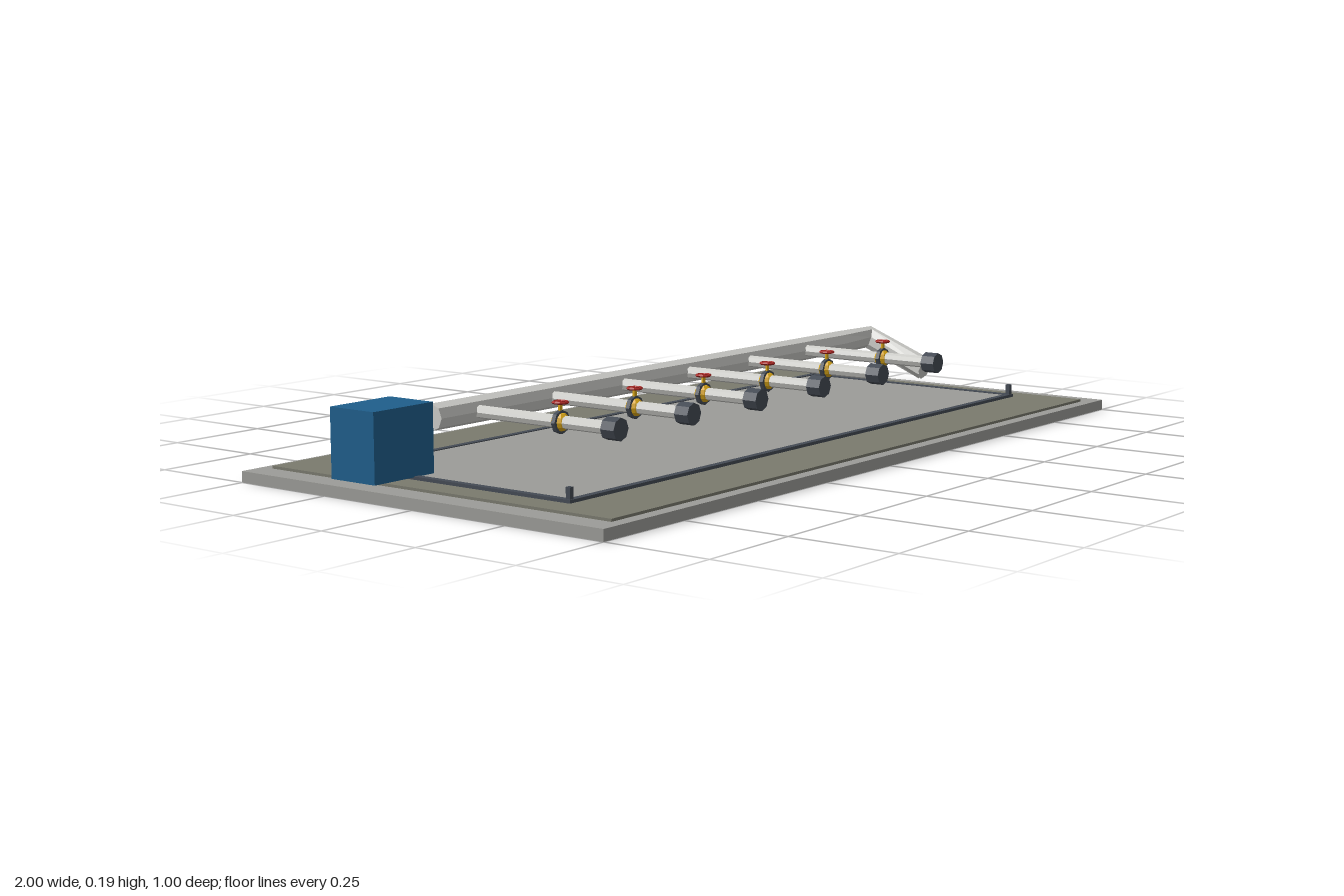
import * as THREE from 'three';

const mat = (name, color) => {
  const m = new THREE.MeshStandardMaterial({ color, flatShading: true });
  m.name = name;
  return m;
};

// Polyline path whose rings sit exactly on the given points
class Polyline extends THREE.Curve {
  constructor(points) { super(); this.points = points; }
  getPoint(t, target = new THREE.Vector3()) {
    const n = this.points.length - 1;
    const i = Math.min(Math.floor(t * n + 1e-6), n - 1);
    return target.lerpVectors(this.points[i], this.points[i + 1], t * n - i);
  }
  getPointAt(u, target) { return this.getPoint(u, target); }
  getTangentAt(u, target = new THREE.Vector3()) {
    const p = this.points, n = p.length - 1, i = Math.round(u * n);
    const dir = (a) => p[a + 1].clone().sub(p[a]).normalize();
    target.copy(dir(Math.max(i - 1, 0)));
    return target.add(dir(Math.min(i, n - 1))).normalize();
  }
}

export function createModel() {
  const concrete = mat('concrete', 0x9c9c98);
  const gravel = mat('gravel', 0x7a7a6e);
  const steel = mat('pipe steel', 0xcdcdc9);
  const dark = mat('dark iron', 0x454b55);
  const blue = mat('blue cabinet', 0x1f5f8c);
  const yellow = mat('yellow valve', 0xdca818);
  const red = mat('red wheel', 0xa82420);

  const root = new THREE.Group();
  root.name = 'pipeManifold';
  const add = (parent, name, geo, material, x = 0, y = 0, z = 0) => {
    const m = new THREE.Mesh(geo, material);
    m.name = name;
    m.position.set(x, y, z);
    parent.add(m);
    return m;
  };
  const box = (parent, name, material, w, y0, y1, d, x = 0, z = 0) =>
    add(parent, name, new THREE.BoxGeometry(w, y1 - y0, d), material, x, (y0 + y1) / 2, z);
  // Cylinder lying along z
  const rod = (parent, name, material, r, z0, z1, sides = 8) =>
    add(parent, name, new THREE.CylinderGeometry(r, r, z1 - z0, sides).rotateX(Math.PI / 2),
      material, 0, 0, (z0 + z1) / 2);

  // Stepped base
  box(root, 'baseSlab', concrete, 2, 0, 0.025, 1);
  box(root, 'gravelBed', gravel, 1.88, 0.025, 0.031, 0.94);
  box(root, 'innerPad', concrete, 1.72, 0.031, 0.036, 0.6);

  // Low dark border with corner posts
  for (const s of [-1, 1]) {
    box(root, 'borderLong', dark, 1.75, 0.03, 0.038, 0.016, 0, s * 0.303);
    box(root, 'borderShort', dark, 0.016, 0.03, 0.038, 0.59, s * 0.867, 0);
    for (const t of [-1, 1])
      box(root, 'cornerPost', dark, 0.011, 0.03, 0.063, 0.011, s * 0.866, t * 0.303);
  }

  // Control cabinet
  box(root, 'cabinet', blue, 0.175, 0.036, 0.188, 0.125, -0.902, -0.176);

  // Main header pipe with angled outlet
  const pts = [[-0.75, 0.14, -0.18], [0.8, 0.14, -0.18], [0.95, 0.14, -0.18], [0.95, 0.068, 0]]
    .map((p) => new THREE.Vector3(...p));
  const path = new Polyline(pts);
  add(root, 'headerPipe', new THREE.TubeGeometry(path, 3, 0.03, 8, false), steel);
  for (const u of [0, 1]) {
    const cap = add(root, 'pipeEnd', new THREE.CircleGeometry(0.03, 8), steel);
    const out = path.getTangentAt(u).multiplyScalar(u ? 1 : -1);
    cap.position.copy(pts[u * 3]);
    cap.quaternion.setFromUnitVectors(new THREE.Vector3(0, 0, 1), out);
  }

  // Branch lines with valves and end couplings
  for (let i = 0; i < 6; i++) {
    const branch = new THREE.Group();
    branch.name = 'branch';
    branch.position.set(-0.625 + i * 0.25, 0.139, 0);
    root.add(branch);
    rod(branch, 'branchPipe', steel, 0.0145, -0.18, 0.205);
    rod(branch, 'coupling', dark, 0.025, 0.203, 0.239);

    const valve = new THREE.Group();
    valve.name = 'valve';
    valve.position.z = 0.075;
    branch.add(valve);
    add(valve, 'valveBody', new THREE.SphereGeometry(0.021, 8, 6), yellow);
    rod(valve, 'valveFlange', dark, 0.026, -0.005, 0.005);
    add(valve, 'valveStem', new THREE.CylinderGeometry(0.005, 0.005, 0.026, 6), yellow, 0, 0.028, 0);
    add(valve, 'handWheel', new THREE.TorusGeometry(0.016, 0.0032, 4, 10).rotateX(Math.PI / 2),
      red, 0, 0.042, 0);
    for (const a of [0, Math.PI / 2])
      add(valve, 'wheelSpoke', new THREE.BoxGeometry(0.032, 0.004, 0.005), red, 0, 0.042, 0).rotation.y = a;
  }
  return root;
}
